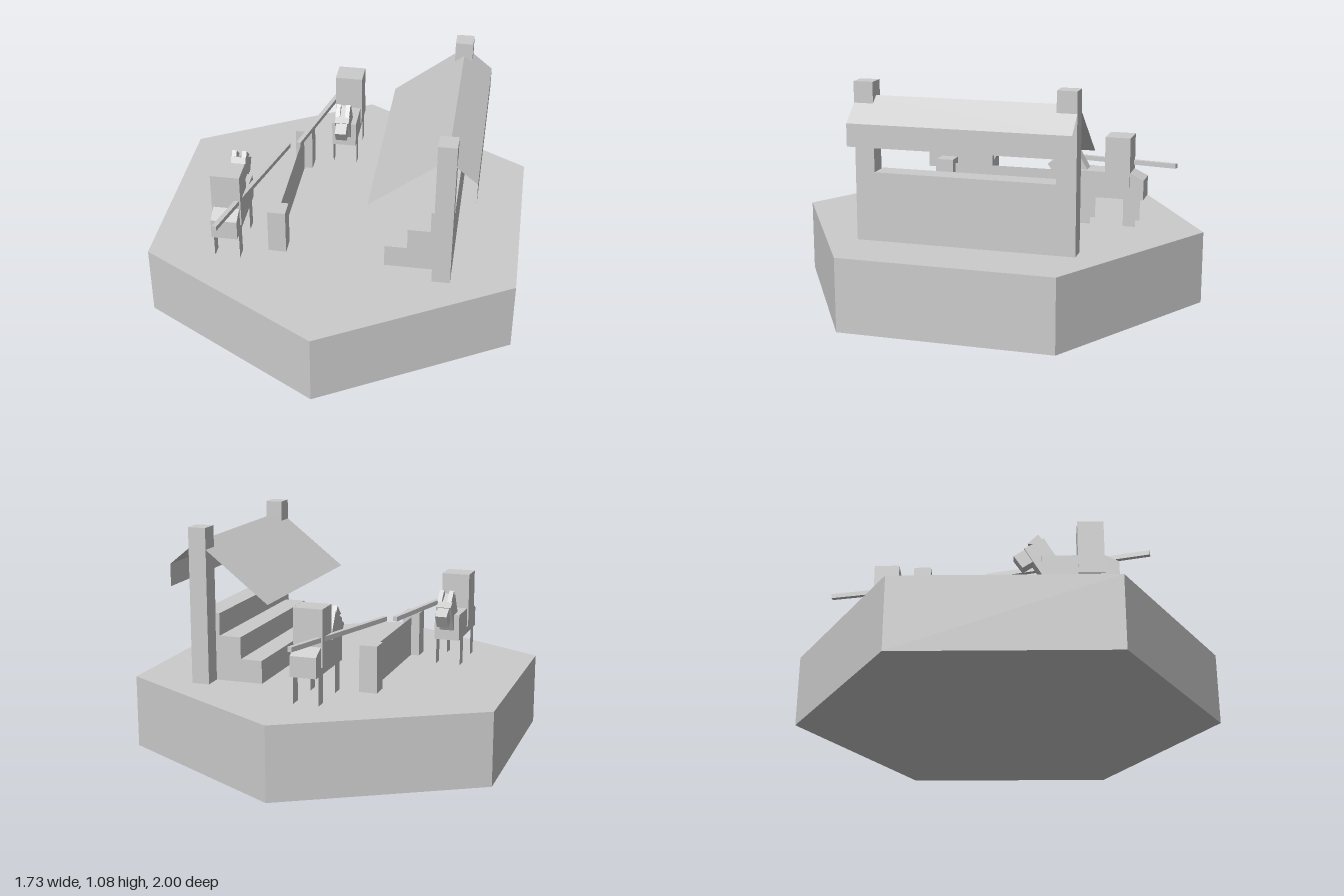
import * as THREE from 'three';

const mat = new THREE.MeshStandardMaterial({ color: 0xcccccc, flatShading: true });
const sheetMat = new THREE.MeshStandardMaterial({ color: 0xcccccc, flatShading: true, side: THREE.DoubleSide });

function add(parent, name, geometry, material = mat) {
  const mesh = new THREE.Mesh(geometry, material);
  mesh.name = name;
  parent.add(mesh);
  return mesh;
}

// Box given by its lower and upper limits on each axis
function box(parent, name, [x0, x1], [y0, y1], [z0, z1]) {
  const mesh = add(parent, name, new THREE.BoxGeometry(x1 - x0, y1 - y0, z1 - z0));
  mesh.position.set((x0 + x1) / 2, (y0 + y1) / 2, (z0 + z1) / 2);
  return mesh;
}

// Side profile of [z, y] points, extruded across x and centred on x
function sideProfile(parent, name, points, width, x = 0) {
  const shape = new THREE.Shape(points.map(([z, y]) => new THREE.Vector2(z, y)));
  const geo = new THREE.ExtrudeGeometry(shape, { depth: width, bevelEnabled: false });
  geo.rotateY(-Math.PI / 2).translate(x + width / 2, 0, 0);
  return add(parent, name, geo);
}

const GROUND = 0.345;

// Mounted jouster facing +z
function makeJouster() {
  const g = new THREE.Group();
  g.name = 'jouster';

  // Horse body with a sloped rump
  sideProfile(g, 'horseBody',
    [[-0.71, 0.478], [-0.36, 0.478], [-0.36, 0.605], [-0.645, 0.605], [-0.71, 0.573]], 0.122);
  sideProfile(g, 'horseNeck',
    [[-0.45, 0.575], [-0.36, 0.527], [-0.283, 0.655], [-0.373, 0.707]], 0.07);
  sideProfile(g, 'horseHead',
    [[-0.36, 0.7], [-0.235, 0.62], [-0.275, 0.56], [-0.39, 0.635]], 0.056);

  for (const side of [-1, 1]) {
    sideProfile(g, 'horseEar', [[-0.39, 0.668], [-0.3, 0.68], [-0.347, 0.727]], 0.022, side * 0.024);
    // Flat legs at the four corners
    for (const z of [-0.645, -0.425]) {
      const leg = add(g, 'horseLeg', new THREE.PlaneGeometry(0.06, 0.135), sheetMat);
      leg.rotation.y = Math.PI / 2;
      leg.position.set(side * 0.06, GROUND + 0.0675, z);
    }
  }

  box(g, 'rider', [-0.068, 0.068], [0.513, 0.775], [-0.645, -0.525]);

  // Lance crossing to the rider's right, tip slightly lowered
  const butt = new THREE.Vector3(0.004, 0.642, -0.855);
  const tip = new THREE.Vector3(-0.188, 0.625, -0.105);
  const lance = add(g, 'lance', new THREE.BoxGeometry(0.022, 0.022, butt.distanceTo(tip)));
  lance.position.copy(butt).lerp(tip, 0.5);
  lance.lookAt(tip);
  return g;
}

function makeGrandstand() {
  const g = new THREE.Group();
  g.name = 'grandstand';

  // Stepped seating between the posts
  const steps = new THREE.Shape();
  steps.moveTo(0.565, GROUND);
  steps.lineTo(0.565, 0.667);
  [[0.46, 0.667], [0.355, 0.56], [0.25, 0.455]].forEach(([x, y]) => {
    steps.lineTo(x + 0.105, y);
    steps.lineTo(x, y);
  });
  steps.lineTo(0.25, GROUND);
  const seating = new THREE.ExtrudeGeometry(steps, { depth: 0.85, bevelEnabled: false });
  add(g, 'seating', seating.translate(0, 0, -0.425));

  for (const s of [-1, 1]) {
    const z = s * 0.4675;
    box(g, 'roofPost', [0.48, 0.565], [GROUND, 1.08], [z - 0.0455, z + 0.0455]);
  }

  // Cloth roof: long front slope, ridge, short back slope and hanging flap
  const line = [[0.18, 0.745], [0.525, 1.015], [0.66, 0.905], [0.66, 0.8]];
  const roof = new THREE.PlaneGeometry(1.026, 1, 1, line.length - 1);
  const pos = roof.attributes.position;
  for (let i = 0; i < pos.count; i++) {
    const [x, y] = line[Math.floor(i / 2)];
    pos.setXYZ(i, x, y, pos.getX(i));
  }
  roof.computeVertexNormals();
  add(g, 'clothRoof', roof, sheetMat);
  return g;
}

function makeBarrier() {
  const g = new THREE.Group();
  g.name = 'tiltBarrier';
  for (const z of [-0.36, 0.355]) {
    box(g, 'barrierPost', [-0.305, -0.22], [GROUND, 0.565], [z - 0.043, z + 0.043]);
  }
  const panel = add(g, 'barrierPanel', new THREE.PlaneGeometry(0.7, 0.195), sheetMat);
  panel.rotation.y = Math.PI / 2;
  panel.position.set(-0.2625, GROUND + 0.0975, 0);
  return g;
}

export function createModel() {
  const model = new THREE.Group();
  model.name = 'joustingGround';

  // Hexagonal ground tile
  const base = add(model, 'groundTile', new THREE.CylinderGeometry(1, 1, GROUND, 6));
  base.position.y = GROUND / 2;

  model.add(makeGrandstand(), makeBarrier());

  // Two jousters charging at each other
  const far = makeJouster();
  far.position.set(-0.062, 0, 0);
  const near = makeJouster();
  near.position.set(-0.485, 0, -0.2);
  near.rotation.y = Math.PI;
  model.add(far, near);
  return model;
}
